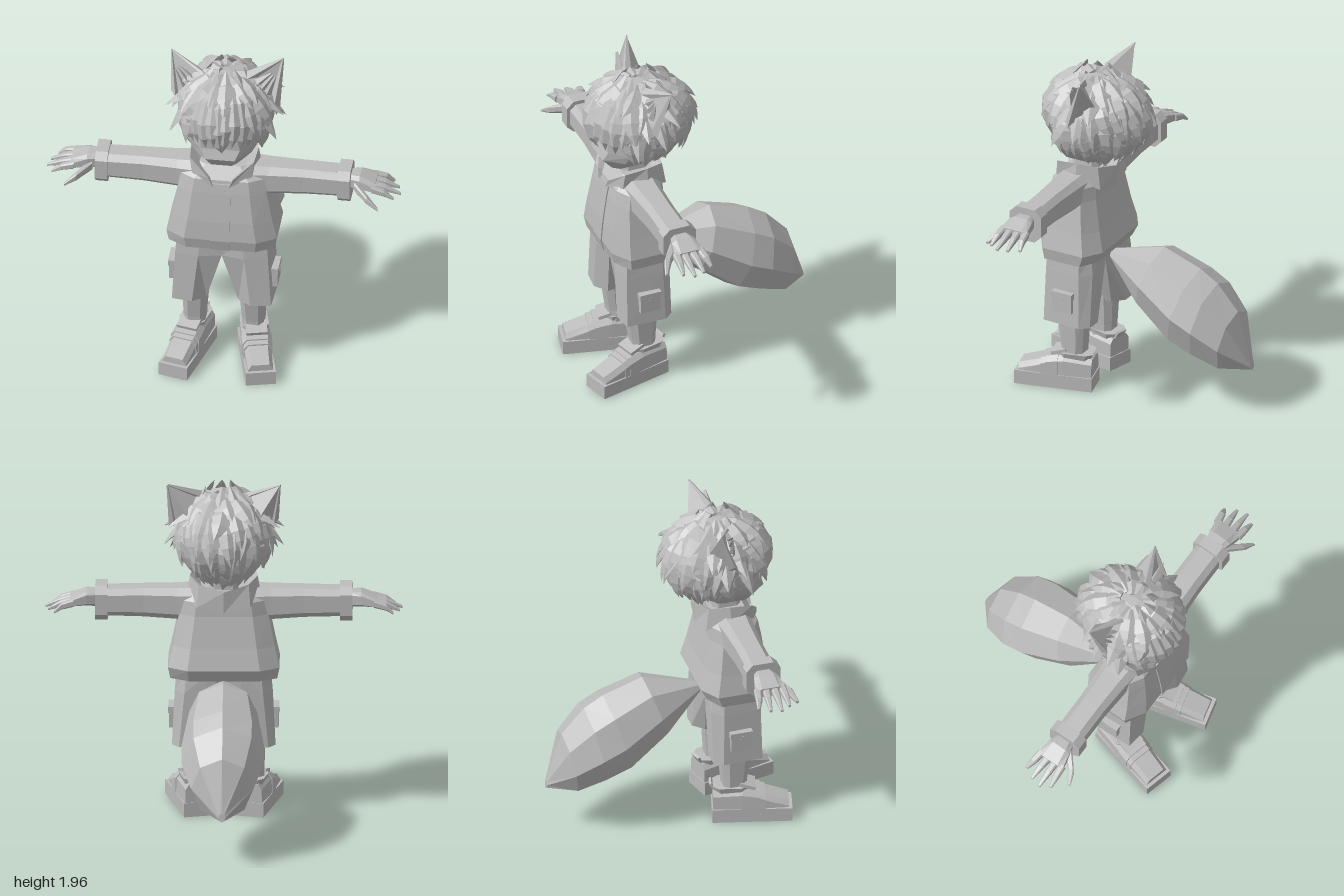
import * as THREE from 'three';

const V = (x, y, z) => new THREE.Vector3(x, y, z);
const grey = new THREE.MeshStandardMaterial({ color: 0xbcbcbc });
grey.name = 'plainGrey';

// Flat-shaded closed solid through a list of equal-length point rings
function loftGeometry(rings) {
  const tris = [], n = rings[0].length;
  const centre = r => r.reduce((a, p) => a.add(p), V(0, 0, 0)).divideScalar(n);
  for (let i = 0; i < rings.length - 1; i++) for (let j = 0; j < n; j++) {
    const k = (j + 1) % n, a = rings[i][j], b = rings[i][k], c = rings[i + 1][k], d = rings[i + 1][j];
    tris.push([a, b, c], [a, c, d]);
  }
  const first = rings[0], last = rings[rings.length - 1], c0 = centre(first), c1 = centre(last);
  for (let j = 0; j < n; j++) {
    const k = (j + 1) % n;
    tris.push([c0, first[k], first[j]], [c1, last[j], last[k]]);
  }
  // turn the faces outward whichever way the rings run
  const mid = c0.clone().add(c1).multiplyScalar(0.5);
  const rel = p => p.clone().sub(mid);
  const vol = tris.reduce((s, [a, b, c]) => s + rel(a).dot(rel(b).cross(rel(c))), 0);
  const pts = tris.flatMap(([a, b, c]) => (vol < 0 ? [a, c, b] : [a, b, c]));
  const g = new THREE.BufferGeometry().setFromPoints(pts);
  g.computeVertexNormals();
  return g;
}

function add(parent, name, geo, x = 0, y = 0, z = 0) {
  const m = new THREE.Mesh(geo, grey);
  m.name = name;
  m.position.set(x, y, z);
  parent.add(m);
  return m;
}
const loft = (parent, name, rings) => add(parent, name, loftGeometry(rings));
const box = (parent, name, w, h, d, x, y, z) => add(parent, name, new THREE.BoxGeometry(w, h, d), x, y, z);

// Chamfered rectangle; c is the chamfer as a share of the half size
const chamfered = (hu, hv, c) => {
  const a = hu * (1 - c), b = hv * (1 - c);
  return [[a, hv], [hu, b], [hu, -b], [a, -hv], [-a, -hv], [-hu, -b], [-hu, b], [-a, hv]];
};
// Horizontal ring at height y, and upright ring at distance x
const ringY = (y, hx, zb, zf, c = 0.35) =>
  chamfered(hx, (zf - zb) / 2, c).map(([u, v]) => V(u, y, (zf + zb) / 2 + v));
const ringX = (s, x, y, z, hy, hz, c = 0.4) =>
  chamfered(hy, hz, c).map(([u, v]) => V(s * x, y + u, z + v));

let seed = 11;
const rnd = (a, b) => {
  seed = (seed * 16807) % 2147483647;
  return a + (b - a) * seed / 2147483647;
};

// Leaf-shaped lock running down the skull from elevation e0 to e1 (degrees)
const skull = V(0, 1.645, 0.31), skullSize = V(0.245, 0.235, 0.295);
function lock(parent, az, e0, e1, flare, width, sweep = 0) {
  const at = t => {
    const e = THREE.MathUtils.degToRad(e0 + (e1 - e0) * t);
    const a = THREE.MathUtils.degToRad(az + sweep * t * t);
    return V(Math.sin(a) * Math.cos(e), Math.sin(e), Math.cos(a) * Math.cos(e))
      .multiply(skullSize).multiplyScalar(0.98 + flare * t * t).add(skull);
  };
  const rings = [[0, 0.35], [0.3, 1], [0.6, 0.8], [0.82, 0.45], [1, 0.02]].map(([t, w]) => {
    const p = at(t), tangent = at(t + 0.02).sub(at(t - 0.02)).normalize();
    const side = tangent.clone().cross(p.clone().sub(skull)).normalize();
    const out = side.clone().cross(tangent).normalize();
    const off = (q, k) => p.clone().addScaledVector(q, k * w * width);
    return [off(side, 0.5), off(out, 0.25), off(side, -0.5), off(out, -0.25)];
  });
  loft(parent, 'hairLock', rings);
}

function buildHair(root) {
  const hair = new THREE.Group();
  hair.name = 'hair';
  root.add(hair);
  const cap = new THREE.SphereGeometry(1, 14, 9, 0, Math.PI * 2, 0, Math.PI * 0.58).toNonIndexed();
  cap.rotateX(-0.5).scale(0.235, 0.225, 0.28);
  cap.computeVertexNormals();
  const capMesh = add(hair, 'hairCap', cap, skull.x, skull.y, skull.z);
  capMesh.material = capMaterial;
  // layers: start, end, flare, count, width, front gap
  const layers = [
    [78, 30, 0.16, 13, 0.12, 0], [55, 5, 0.17, 17, 0.11, 35], [32, -18, 0.18, 19, 0.1, 48],
    [10, -40, 0.2, 19, 0.1, 55], [-12, -58, 0.2, 17, 0.09, 72], [-25, -70, 0.24, 13, 0.09, 95],
  ];
  for (const [e0, e1, flare, count, width, gap] of layers)
    for (let i = 0; i < count; i++) {
      const az = gap + (360 - 2 * gap) * (i + 0.5) / count + rnd(-5, 5);
      lock(hair, az, e0 + rnd(-5, 5), e1 + rnd(-8, 8), flare + rnd(-0.06, 0.1), width * rnd(0.85, 1.2), rnd(-14, 14));
    }
  // fringe falling over the brow, longest in the middle and at the temples
  const fringe = [[-62, -52], [-48, -30], [-36, -22], [-24, -26], [-12, -20], [-2, -40], [10, -32], [22, -22], [34, -28], [47, -32], [62, -52]];
  for (const [az, end] of fringe) lock(hair, az, 68, end, 0.08, 0.125, az < 0 ? 5 : -5);
  // side and crown tufts
  for (const s of [1, -1]) {
    for (const [az, e] of [[80, 3], [95, -10], [108, 12], [72, -22]]) lock(hair, s * az, e + 32, e, 0.42, 0.09);
  }
  for (let i = 0; i < 9; i++) lock(hair, i * 40 + 10, 50, 76 + rnd(-8, 5), rnd(0.16, 0.34), 0.07);
}
const capMaterial = grey;

function buildEar(root, s) {
  // hollow triangular ear made of a back shell, rim and inner tuft
  const ear = new THREE.Group();
  ear.name = s > 0 ? 'leftEar' : 'rightEar';
  root.add(ear);
  const tip = V(s * 0.315, 1.95, 0.24), inn = V(s * 0.1, 1.85, 0.33), out = V(s * 0.28, 1.7, 0.32);
  const back = V(s * 0.2, 1.77, 0.2);
  const bar = (name, a, b, r0, r1) => loft(ear, name, [[a, r0], [b, r1]].map(([p, r]) =>
    [V(p.x - r, p.y + r, p.z), V(p.x, p.y, p.z + r), V(p.x + r, p.y - r, p.z), V(p.x, p.y, p.z - r)]));
  bar('earInnerRim', inn, tip, 0.028, 0.005);
  bar('earOuterRim', out, tip, 0.028, 0.005);
  loft(ear, 'earShell', [[inn, out, back], [tip, tip, tip].map(p => p.clone())]);
  for (const k of [0.3, 0.5, 0.7]) {
    const base = inn.clone().lerp(out, k), end = base.clone().lerp(tip, 0.65).add(V(0, 0, 0.05));
    bar('earTuft', base, end, 0.025, 0.003);
  }
}

function buildArm(root, s) {
  const arm = new THREE.Group();
  arm.name = s > 0 ? 'leftArm' : 'rightArm';
  root.add(arm);
  loft(arm, 'sleeve', [ringX(s, 0.16, 1.225, 0.36, 0.1, 0.1), ringX(s, 0.26, 1.23, 0.36, 0.09, 0.09),
    ringX(s, 0.45, 1.235, 0.36, 0.083, 0.08), ringX(s, 0.68, 1.235, 0.36, 0.077, 0.08)]);
  loft(arm, 'cuff', [ringX(s, 0.65, 1.235, 0.36, 0.1, 0.1), ringX(s, 0.72, 1.235, 0.36, 0.1, 0.1)]);
  loft(arm, 'palm', [ringX(s, 0.7, 1.25, 0.36, 0.045, 0.05), ringX(s, 0.77, 1.255, 0.36, 0.042, 0.07),
    ringX(s, 0.86, 1.235, 0.36, 0.026, 0.085)]);
  // fingers: root z, tip x, tip z
  for (const [z, x, tz] of [[0.29, 0.95, 0.265], [0.338, 0.985, 0.325], [0.386, 1, 0.385], [0.43, 0.965, 0.44]])
    loft(arm, 'finger', [ringX(s, 0.84, 1.24, z, 0.022, 0.022), ringX(s, 0.91, 1.222, (z + tz) / 2, 0.018, 0.018),
      ringX(s, x, 1.19, tz, 0.007, 0.008)]);
  loft(arm, 'thumb', [ringX(s, 0.74, 1.235, 0.4, 0.03, 0.03), ringX(s, 0.82, 1.195, 0.475, 0.023, 0.022),
    ringX(s, 0.885, 1.155, 0.51, 0.008, 0.009)]);
}

function buildLeg(root, s) {
  const leg = new THREE.Group();
  leg.name = s > 0 ? 'leftLeg' : 'rightLeg';
  root.add(leg);
  const ring = (y, pts) => pts.map(([x, z]) => V(s * x, y, z));
  loft(leg, 'shortsLeg', [
    ring(0.415, [[0.165, 0.505], [0.28, 0.49], [0.29, 0.26], [0.25, 0.21], [0.16, 0.21], [0.1, 0.27], [0.09, 0.45]]),
    ring(0.73, [[0.13, 0.505], [0.262, 0.485], [0.275, 0.27], [0.22, 0.21], [0.1, 0.21], [0, 0.25], [0, 0.48]]),
    ring(0.84, [[0.12, 0.5], [0.255, 0.48], [0.265, 0.27], [0.21, 0.22], [0.1, 0.21], [0, 0.22], [0, 0.49]])]);
  box(leg, 'pocket', 0.04, 0.115, 0.12, s * 0.287, 0.56, 0.36);
  box(leg, 'pocketFlap', 0.045, 0.035, 0.13, s * 0.289, 0.607, 0.36);
  box(leg, 'pocketButton', 0.05, 0.02, 0.02, s * 0.289, 0.59, 0.36);
  const shin = (y, x, hx, zb, zf) => ringY(y, hx, zb, zf, 0.45).map(p => V(s * (p.x + x), p.y, p.z));
  loft(leg, 'shin', [shin(0.15, 0.165, 0.06, 0.29, 0.42), shin(0.25, 0.165, 0.062, 0.285, 0.425), shin(0.5, 0.16, 0.075, 0.27, 0.46)]);

  // shoe, toes turned out
  const shoe = new THREE.Group();
  shoe.name = 'shoe';
  shoe.position.set(s * 0.14, 0, 0.235);
  shoe.rotation.y = s * 0.245;
  leg.add(shoe);
  box(shoe, 'sole', 0.17, 0.082, 0.45, 0, 0.041, 0.225);
  const cut = (z, hx, y) => [V(-hx, 0.075, z), V(-hx * 0.98, y - 0.03, z), V(-hx * 0.7, y, z),
    V(hx * 0.7, y, z), V(hx * 0.98, y - 0.03, z), V(hx, 0.075, z)];
  loft(shoe, 'heelUpper', [cut(0.005, 0.075, 0.19), cut(0.17, 0.082, 0.2), cut(0.3, 0.082, 0.17)]);
  loft(shoe, 'toeUpper', [cut(0.29, 0.078, 0.165), cut(0.43, 0.072, 0.12)]);
  loft(shoe, 'strap', [cut(0.2, 0.086, 0.198), cut(0.27, 0.086, 0.184)]);
  loft(shoe, 'shoeCollar', [ringY(0.17, 0.062, 0.02, 0.2), ringY(0.215, 0.075, 0.005, 0.2)]);
  const tongue = box(shoe, 'tongue', 0.12, 0.02, 0.09, 0, 0.215, 0.2);
  tongue.rotation.x = 0.3;
  const tab = box(shoe, 'heelTab', 0.07, 0.06, 0.015, 0, 0.2, 0.005);
  tab.rotation.x = -0.5;
}

function buildTail(root) {
  // upper z, y, lower z, y, half width
  const rows = [[0.2, 0.81, 0.2, 0.75, 0.04], [-0.13, 0.9, 0, 0.53, 0.19], [-0.36, 0.82, -0.22, 0.35, 0.232],
    [-0.47, 0.755, -0.37, 0.295, 0.23], [-0.6, 0.61, -0.53, 0.24, 0.175], [-0.69, 0.32, -0.695, 0.27, 0.02]];
  loft(root, 'tail', rows.map(([zt, yt, zb, yb, w]) => Array.from({ length: 8 }, (_, i) => {
    const a = i * Math.PI / 4, k = Math.cos(a) / 2;
    return V(Math.sin(a) * w, (yt + yb) / 2 + (yt - yb) * k, (zt + zb) / 2 + (zt - zb) * k);
  })));
}

export function createModel() {
  const root = new THREE.Group();
  root.name = 'foxEaredFigure';

  // head and neck
  loft(root, 'head', [ringY(1.36, 0.09, 0.27, 0.49), ringY(1.44, 0.165, 0.15, 0.555, 0.5), ringY(1.5, 0.2, 0.1, 0.535, 0.45),
    ringY(1.65, 0.205, 0.09, 0.54, 0.45), ringY(1.82, 0.13, 0.18, 0.46, 0.45)]);
  loft(root, 'neck', [ringY(1.22, 0.09, 0.26, 0.44), ringY(1.4, 0.075, 0.27, 0.42)]);
  buildHair(root);

  // jacket with front placket
  loft(root, 'jacket', [ringY(0.81, 0.3, 0.19, 0.535), ringY(0.88, 0.312, 0.155, 0.55), ringY(1.0, 0.285, 0.185, 0.54),
    ringY(1.18, 0.25, 0.22, 0.515), ringY(1.26, 0.235, 0.225, 0.5), ringY(1.325, 0.15, 0.25, 0.44)]);
  const placket = (y, z) => [V(-0.055, y, z), V(0.055, y, z), V(0.055, y, z - 0.03), V(-0.055, y, z - 0.03)];
  loft(root, 'placket', [placket(0.81, 0.541), placket(0.88, 0.557), placket(1.0, 0.547), placket(1.18, 0.522), placket(1.24, 0.511)]);

  // turned-up collar: outer bottom, outer top, inner edge
  const half = [
    [V(0.045, 1.23, 0.525), V(0.07, 1.285, 0.52), V(0.06, 1.26, 0.46)],
    [V(0.17, 1.28, 0.47), V(0.18, 1.375, 0.46), V(0.12, 1.31, 0.42)],
    [V(0.205, 1.29, 0.33), V(0.19, 1.39, 0.33), V(0.12, 1.32, 0.33)],
    [V(0.15, 1.24, 0.2), V(0.14, 1.37, 0.22), V(0.09, 1.32, 0.27)],
    [V(0, 1.21, 0.18), V(0, 1.335, 0.18), V(0, 1.31, 0.26)]];
  const other = half.slice(0, -1).reverse().map(r => r.map(p => V(-p.x, p.y, p.z)));
  loft(root, 'collar', [...half, ...other]);

  for (const s of [1, -1]) {
    buildEar(root, s);
    buildArm(root, s);
    buildLeg(root, s);
  }
  buildTail(root);
  return root;
}
